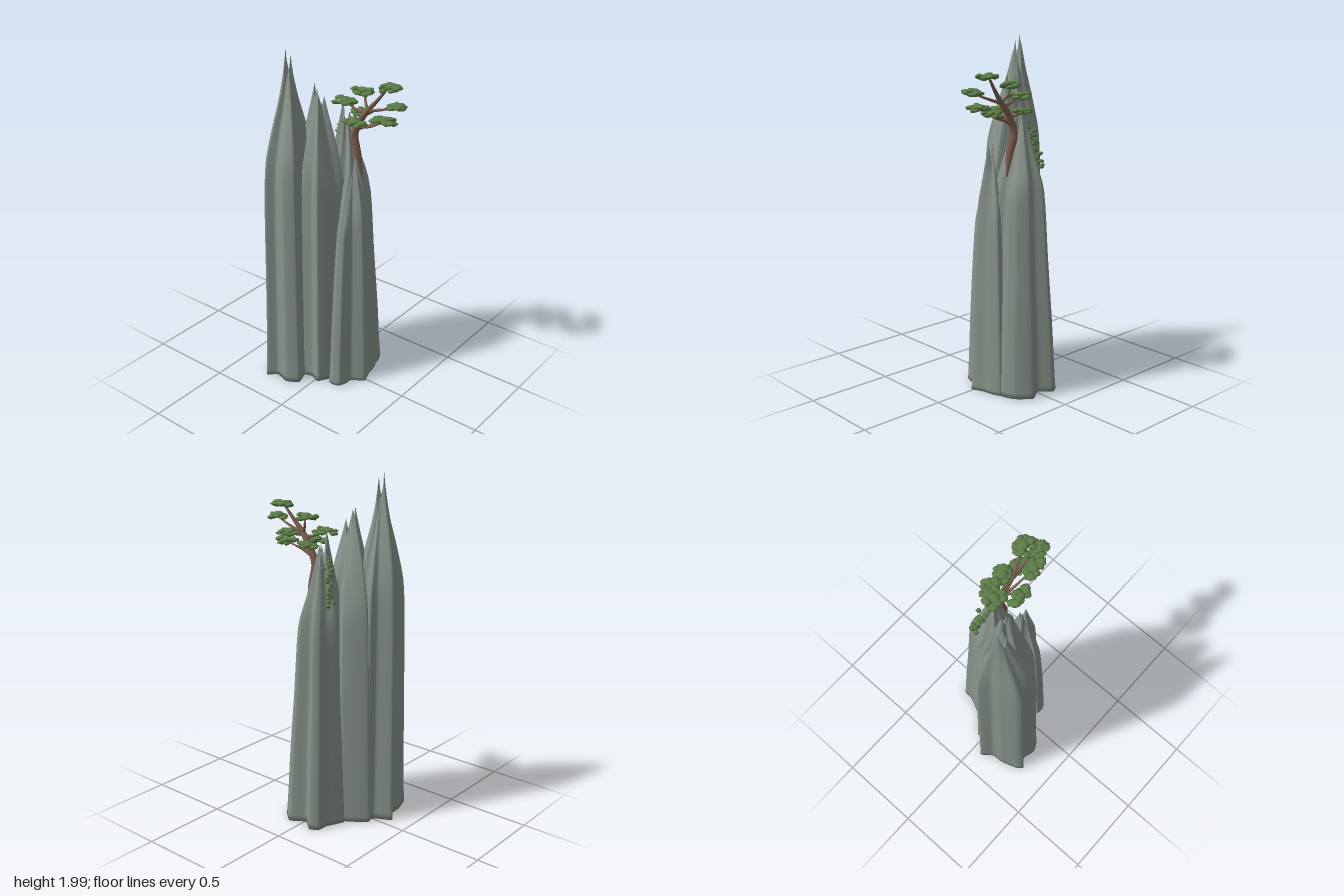
import * as THREE from 'three';
import { mergeVertices, mergeGeometries } from 'three/addons/utils/BufferGeometryUtils.js';

const rock = new THREE.MeshStandardMaterial({ color: 0x88928a });
rock.name = 'grey green rock';
const bark = new THREE.MeshStandardMaterial({ color: 0x7d5f50 });
bark.name = 'brown bark';
const leaf = new THREE.MeshStandardMaterial({ color: 0x5c7c48 });
leaf.name = 'pine green';

let seed = 7;
const rand = () => {
  seed = (seed * 16807) % 2147483647;
  return seed / 2147483647;
};

// Lobed rock spire: the foot outline [x, z] shrinks up to a jagged rim of peaks [angle, height]
function spire(name, [cx, cz], outline, profile, peaks) {
  const curve = new THREE.CatmullRomCurve3(
    outline.map(([x, z]) => new THREE.Vector3(x - cx, 0, z - cz)), true, 'catmullrom', 0.25);
  const n = outline.length * 5;
  const foot = curve.getPoints(n).slice(0, n);
  const rim = foot.map((p) => {
    const a = Math.atan2(p.z, p.x);
    return Math.max(...peaks.map(([pa, h]) => {
      const d = Math.abs(Math.atan2(Math.sin(a - pa), Math.cos(a - pa)));
      return h - 0.12 * d;
    }));
  });
  const levels = new THREE.CatmullRomCurve3(
    profile.map(([t, s]) => new THREE.Vector3(s, t, 0)), false, 'catmullrom', 0.4).getPoints(30);
  const pos = [], index = [];
  levels.forEach(({ x: s, y: t }) => {
    foot.forEach((p, i) => pos.push(cx + p.x * s, t * rim[i], cz + p.z * s));
  });
  for (let k = 0; k < levels.length - 1; k++) {
    for (let i = 0; i < n; i++) {
      const a = k * n + i, b = k * n + (i + 1) % n;
      index.push(a, b, b + n, a, b + n, a + n);
    }
  }
  // Sunken crown with its own corners, and an underside that rounds into the wall
  const start = pos.length / 3;
  pos.push(...pos.slice(-n * 3), cx, Math.min(...rim) - 0.04, cz, cx, 0, cz);
  for (let i = 0; i < n; i++) {
    const j = (i + 1) % n;
    index.push(start + i, start + j, start + n, j, i, start + n + 1);
  }
  const g = new THREE.BufferGeometry();
  g.setAttribute('position', new THREE.Float32BufferAttribute(pos, 3));
  g.setIndex(index);
  g.computeVertexNormals();
  const mesh = new THREE.Mesh(g, rock);
  mesh.name = name;
  return mesh;
}

// Round limb along a path, its radius blended through a list
function limb(name, points, radii) {
  const curve = new THREE.CatmullRomCurve3(points.map((p) => new THREE.Vector3(...p)));
  const rings = points.length * 4, sides = 8;
  const g = new THREE.TubeGeometry(curve, rings, 1, sides);
  const p = g.attributes.position, v = new THREE.Vector3();
  for (let i = 0; i < p.count; i++) {
    const t = Math.floor(i / (sides + 1)) / rings;
    const f = t * (radii.length - 1), k = Math.min(Math.floor(f), radii.length - 2);
    const r = THREE.MathUtils.lerp(radii[k], radii[k + 1], f - k);
    const c = curve.getPointAt(t);
    v.fromBufferAttribute(p, i).sub(c).multiplyScalar(r).add(c);
    p.setXYZ(i, v.x, v.y, v.z);
  }
  g.computeVertexNormals();
  const mesh = new THREE.Mesh(g, bark);
  mesh.name = name;
  return mesh;
}

// Lumpy flattened ball of needles
function tuft(x, y, z, r, h) {
  let g = new THREE.IcosahedronGeometry(1, 1);
  g.deleteAttribute('normal');
  g.deleteAttribute('uv');
  g = mergeVertices(g, 1e-3);
  const p = g.attributes.position;
  for (let i = 0; i < p.count; i++) {
    const k = 0.72 + 0.5 * rand();
    p.setXYZ(i, x + p.getX(i) * r * k, y + p.getY(i) * h * k, z + p.getZ(i) * r * k);
  }
  g.computeVertexNormals();
  return g;
}

// Flat cloud of tufts
function pad([x, y, z, rx, rz]) {
  const parts = [tuft(x, y + 0.006, z, 0.034, 0.015)];
  for (let i = 0; i < 11; i++) {
    const a = i * 2.4, d = 0.45 + 0.4 * rand();
    parts.push(tuft(x + Math.cos(a) * rx * d, y + (rand() - 0.5) * 0.022,
      z + Math.sin(a) * rz * d, 0.018 + 0.008 * rand(), 0.011));
  }
  const mesh = new THREE.Mesh(mergeGeometries(parts), leaf);
  mesh.name = 'foliagePad';
  return mesh;
}

export function createModel() {
  const model = new THREE.Group();
  model.name = 'rockSpiresWithPine';

  // Rock spires
  const cliff = new THREE.Group();
  cliff.name = 'cliff';
  cliff.add(
    spire('tallSpire', [-0.22, 0.12], [
      [-0.38, 0.06], [-0.33, 0.13], [-0.325, 0.2], [-0.29, 0.3], [-0.26, 0.33], [-0.21, 0.29],
      [-0.13, 0.31], [-0.06, 0.27], [-0.08, 0.2], [-0.09, 0.13], [-0.1, 0.06], [-0.11, -0.01],
      [-0.17, -0.06], [-0.22, -0.045], [-0.27, -0.04], [-0.29, 0.01],
    ], [[0, 1], [0.1, 0.96], [0.35, 0.91], [0.6, 0.87], [0.74, 0.79], [0.85, 0.53], [0.93, 0.3], [1, 0.14]],
    [[3.0, 2.0], [0.1, 1.97]]),
    spire('middleSpire', [-0.085, 0.03], [
      [-0.29, -0.04], [-0.25, 0.02], [-0.23, 0.1], [-0.16, 0.13], [-0.12, 0.2], [-0.04, 0.175],
      [0, 0.19], [0.025, 0.19], [0.07, 0.11], [0.08, 0.05], [0.105, -0.01], [0.04, -0.05],
      [-0.02, -0.13], [-0.09, -0.1], [-0.15, -0.14], [-0.22, -0.1],
    ], [[0, 1], [0.1, 0.97], [0.4, 0.9], [0.62, 0.84], [0.74, 0.77], [0.86, 0.54], [0.94, 0.33], [1, 0.17]],
    [[3.0, 1.81], [1.3, 1.79], [-0.4, 1.74], [-1.6, 1.7]]),
    spire('backSpire', [-0.012, -0.118], [
      [-0.18, -0.14], [-0.14, -0.07], [-0.13, 0], [-0.05, -0.01], [0, 0.04], [0.07, 0],
      [0.15, 0.01], [0.165, -0.05], [0.21, -0.09], [0.185, -0.14], [0.18, -0.2], [0.155, -0.26],
      [0.075, -0.325], [-0.01, -0.275], [-0.08, -0.33], [-0.13, -0.3], [-0.135, -0.24],
    ], [[0, 1], [0.1, 0.95], [0.25, 0.89], [0.5, 0.76], [0.75, 0.64], [0.86, 0.41], [0.94, 0.25], [1, 0.14]],
    [[2.2, 1.69], [0.6, 1.6], [-1.5, 1.62]]),
    spire('lowSpire', [0.11, -0.02], [
      [0.07, 0.12], [0.08, 0.155], [0.11, 0.162], [0.15, 0.15], [0.17, 0.1], [0.17, 0.06],
      [0.24, 0.015], [0.215, -0.06], [0.205, -0.12], [0.185, -0.17], [0.13, -0.17], [0.08, -0.14],
      [0.03, -0.12], [0.03, -0.04], [0.0, 0.04], [0.04, 0.07],
    ], [[0, 1], [0.1, 0.96], [0.4, 0.85], [0.62, 0.74], [0.77, 0.63], [0.88, 0.4], [1, 0.15]],
    [[2.6, 1.43], [0.2, 1.43], [-1.3, 1.36]]),
  );
  model.add(cliff);

  // Leaning pine
  const pine = new THREE.Group();
  pine.name = 'pine';
  pine.add(limb('trunk', [
    [0.095, 1.25, -0.125], [0.068, 1.38, -0.12], [0.04, 1.49, -0.12], [0.075, 1.58, -0.125],
    [0.135, 1.665, -0.12], [0.18, 1.72, -0.13], [0.24, 1.8, -0.145],
  ], [0.004, 0.018, 0.026, 0.02, 0.017, 0.011, 0.006]));
  [
    [[0.05, 1.53, -0.12], [0.13, 1.57, -0.13], [0.21, 1.6, -0.15]],
    [[0.06, 1.55, -0.12], [0.16, 1.58, -0.1], [0.26, 1.635, -0.08]],
    [[0.14, 1.66, -0.12], [0.22, 1.685, -0.12], [0.33, 1.725, -0.11]],
    [[0.13, 1.66, -0.12], [0.1, 1.7, -0.14], [0.09, 1.745, -0.15]],
    [[0.12, 1.64, -0.12], [0.06, 1.65, -0.115], [-0.01, 1.685, -0.11]],
    [[0.07, 1.58, -0.12], [0.05, 1.59, -0.155], [0.04, 1.61, -0.19]],
    [[0.07, 1.57, -0.12], [0.1, 1.575, -0.08], [0.1, 1.6, -0.035]],
  ].forEach((path) => pine.add(limb('branch', path, [0.01, 0.007, 0.004])));
  [
    [0.25, 1.805, -0.15, 0.075, 0.055],
    [0.325, 1.73, -0.11, 0.055, 0.045],
    [0.26, 1.64, -0.085, 0.075, 0.05],
    [0.215, 1.61, -0.155, 0.065, 0.045],
    [0.085, 1.755, -0.14, 0.08, 0.05],
    [-0.015, 1.685, -0.11, 0.065, 0.07],
    [0.035, 1.61, -0.185, 0.065, 0.045],
    [0.1, 1.61, -0.04, 0.075, 0.035],
  ].forEach((p) => pine.add(pad(p)));
  model.add(pine);

  // Creeper hanging down the rear face
  const bits = [];
  for (let i = 0; i < 24; i++) {
    const t = i / 23;
    bits.push(tuft(-0.065 - 0.045 * t + (rand() - 0.5) * 0.025, 1.54 - 0.25 * t,
      -0.15 - 0.015 * t + (rand() - 0.5) * 0.07, 0.013, 0.01));
  }
  const creeper = new THREE.Mesh(mergeGeometries(bits), leaf);
  creeper.name = 'creeper';
  model.add(creeper);
  return model;
}
